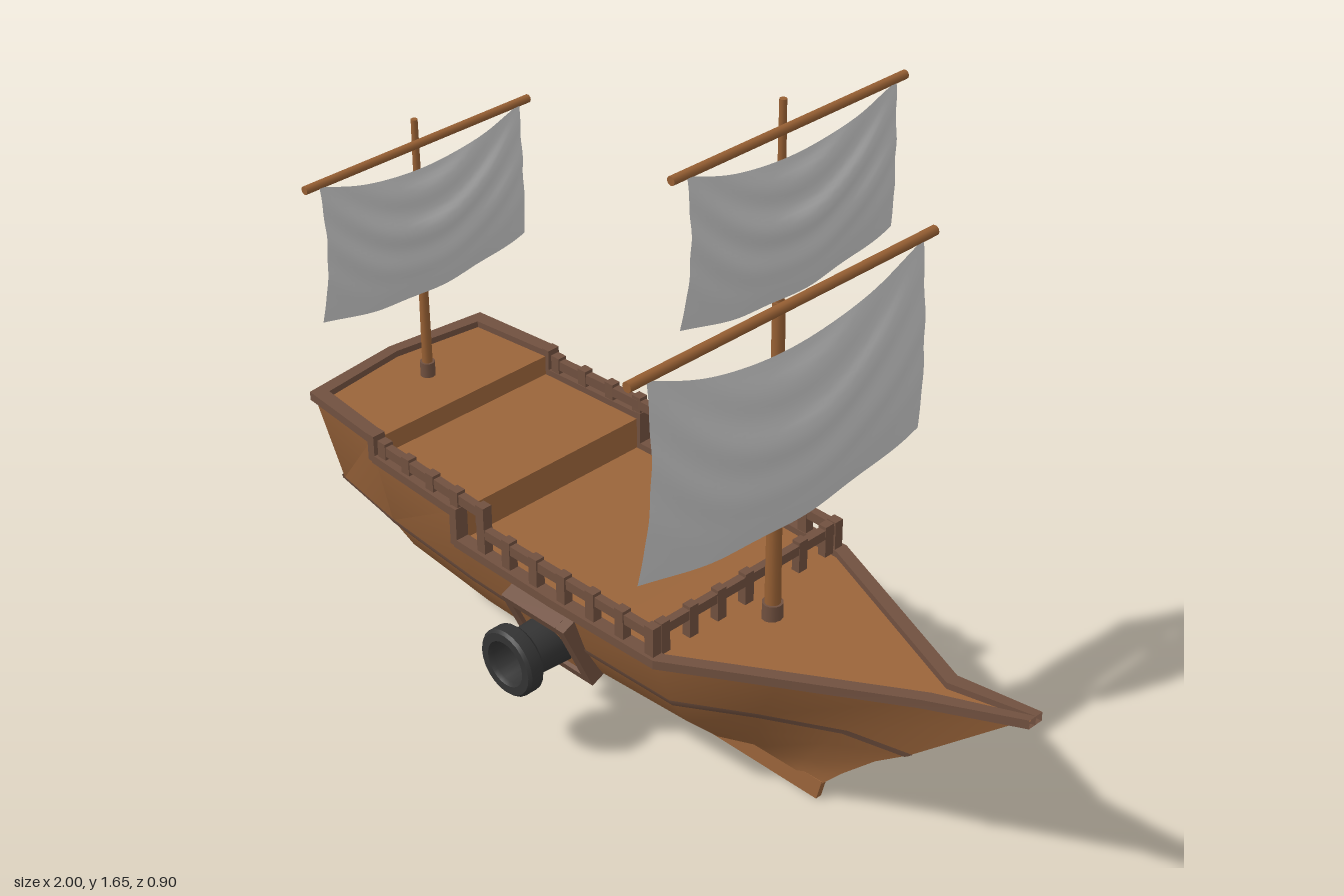
import * as THREE from 'three';
import { toCreasedNormals } from 'three/addons/utils/BufferGeometryUtils.js';

const mat = (name, color, side = THREE.FrontSide) => {
  const m = new THREE.MeshStandardMaterial({ color, side });
  m.name = name;
  return m;
};
const WOOD = mat('plank brown', 0x9a643a, THREE.DoubleSide);
const TRIM = mat('dark trim brown', 0x70503f, THREE.DoubleSide);
const SPAR = mat('spar brown', 0x965f33);
const IRON = mat('gun iron', 0x333333);
const CLOTH = mat('sail cloth', 0xc9c9c9, THREE.DoubleSide);

// Sheer line stations from stern to bow; repeated x values are the deck steps
const X = [-.995, -.965, -.72, -.72, -.42, -.42, -.1, .22, .48, .75, .99];
const Y = [.545, .545, .545, .495, .495, .415, .415, .415, .442, .47, .535];
const W = [0, .257, .28, .28, .295, .295, .3, .295, .175, .05, .012];

// Lower hull rows, keel first: stern x, bow x, stern y, bow y, half widths
const ROWS = [
  [-.77, .44, .045, .045, [0, .007, .009, .009, .01, .01, .01, .01, .009, .008, .006]],
  [-.79, .50, .11, .11, [0, .03, .085, .085, .115, .115, .12, .105, .06, .022, .007]],
  [-.83, .595, .2, .2, [0, .12, .18, .18, .205, .205, .21, .195, .11, .04, .008]],
  [-.965, .69, .3, .272, [0, .205, .237, .237, .255, .255, .258, .248, .145, .05, .01]],
];

// Keep the midship stations and stretch only the two ends
const fit = (x, a, b) =>
  x > .22 ? .22 + (x - .22) * (b - .22) / .77 :
  x < -.72 ? -.72 - (x + .72) * (a + .72) / .275 : x;

// Surface through rows of points, mirrored to the other side when s is -1
function loft(rows, s, crease = .6) {
  const cols = rows[0].length, pos = [], idx = [];
  rows.forEach(r => r.forEach(([x, y, z]) => pos.push(x, y, z * s)));
  for (let i = 0; i < rows.length - 1; i++)
    for (let j = 0; j < cols - 1; j++) {
      const a = i * cols + j, b = a + 1, d = a + cols, c = d + 1;
      if (s > 0) idx.push(a, b, c, a, c, d);
      else idx.push(a, c, b, a, d, c);
    }
  const g = new THREE.BufferGeometry();
  g.setAttribute('position', new THREE.Float32BufferAttribute(pos, 3));
  g.setIndex(idx);
  g.computeVertexNormals();
  return toCreasedNormals(g, crease);
}

function add(parent, name, geo, material, x = 0, y = 0, z = 0) {
  const m = new THREE.Mesh(geo, material);
  m.name = name;
  m.position.set(x, y, z);
  parent.add(m);
  return m;
}
const box = (p, name, m, w, h, d, x, y, z) => add(p, name, new THREE.BoxGeometry(w, h, d), m, x, y, z);

// Half width of the sheer line at a given x
function widthAt(x) {
  let i = 1;
  while (i < X.length - 2 && X[i + 1] < x) i++;
  return W[i] + (W[i + 1] - W[i]) * (x - X[i]) / ((X[i + 1] - X[i]) || 1);
}

function hullSide(g, s) {
  const rows = ROWS.map(([a, b, y0, y1, w]) => X.map((x, j) =>
    [fit(x, a, b), y0 + (y1 - y0) * (x + .995) / 1.985, w[j]]));
  const top = X.map((x, j) => [x, Y[j], W[j]]);
  add(g, 'hull', loft([...rows, top], s), WOOD);

  // Painted band along the knuckle
  const mix = (a, b, dy) => a.map((p, j) => {
    const t = dy / Math.abs(b[j][1] - p[1]);
    return p.map((v, k) => v + (b[j][k] - v) * t);
  });
  const out = r => r.map(([x, y, z], j) => [x + (j < 2 ? -.003 : .001), y, j ? z + .003 : 0]);
  add(g, 'hullBand', loft([mix(rows[3], rows[2], .009), rows[3], mix(rows[3], top, .009)].map(out), s), TRIM);

  // Stepped decks and their bulkheads
  add(g, 'deck', loft([
    X.map((x, j) => [x, Y[j] - .008, Math.max(W[j] - .006, 0)]),
    X.map((x, j) => [x, Y[j] - .008, 0])], s, .3), WOOD);

  // Cap rail swept along the sheer
  const edge = (inset, dy) => X.map((x, j) => [
    x + (j < 2 ? (inset > 0 ? .026 : -.004) : j === 10 ? .01 : 0),
    Y[j] + dy, j ? Math.max(W[j] - inset, .0) : 0]);
  add(g, 'capRail', loft([edge(-.008, -.014), edge(-.008, .008), edge(.026, .008),
    edge(.026, -.014), edge(-.008, -.014)], s, .4), TRIM);
  box(g, 'capRailStep', TRIM, .022, .07, .034, -.72, .52, s * .271);
  box(g, 'capRailStep', TRIM, .022, .1, .034, -.42, .455, s * .286);
}

// Balustrades beside the raised deck and the main deck
function sideRail(g, s, x0, x1, n, base, top) {
  for (let i = 0; i <= n; i++) {
    const x = x0 + (x1 - x0) * i / n;
    box(g, 'railPost', TRIM, .026, top - base, .024, x, (top + base) / 2, s * (widthAt(x) - .012));
  }
  const z0 = widthAt(x0) - .012, z1 = widthAt(x1) - .012;
  const bar = box(g, 'railBar', TRIM, Math.hypot(x1 - x0, z1 - z0) + .02, .024, .02,
    (x0 + x1) / 2, top - .02, s * (z0 + z1) / 2);
  bar.rotation.y = -s * Math.atan2(z1 - z0, x1 - x0);
}

// Gun with its tilted square port
function gun(parent, s) {
  const g = new THREE.Group();
  g.name = 'gun';
  g.position.set(-.14, 0, 0);
  parent.add(g);
  const port = new THREE.Group();
  port.name = 'gunPort';
  port.position.set(0, .283, s * .262);
  port.rotation.x = s * .42;
  g.add(port);
  for (const k of [-1, 1]) {
    box(port, 'portFrameSide', TRIM, .026, .205, .04, k * .088, 0, 0);
    box(port, 'portFrameBar', TRIM, .15, .026, .04, 0, k * .09, 0);
  }
  box(port, 'portPanel', WOOD, .16, .16, .02, 0, 0, 0);
  const profile = [[0, .2], [.064, .2], [.056, .355], [.074, .358], [.082, .366], [.082, .398], [.076, .405],
    [.056, .405], [.05, .395], [.05, .3], [0, .3]].map(p => new THREE.Vector2(...p));
  const barrel = new THREE.LatheGeometry(profile, 24);
  barrel.rotateX(s * Math.PI / 2);
  add(g, 'gunBarrel', toCreasedNormals(barrel, .6), IRON, 0, .275, 0);
}

function mast(g, name, x, sections, collar) {
  for (const [y0, y1, r0, r1] of sections)
    add(g, name, new THREE.CylinderGeometry(r1, r0, y1 - y0, 12), SPAR, x, (y0 + y1) / 2, 0);
  const y = sections[0][0];
  add(g, name + 'Collar', new THREE.CylinderGeometry(collar, collar, .045, 12), TRIM, x, y + .022, 0);
}

// Yard with a hanging cloth sail: sagging head, full belly, curved folds
function sail(g, name, x, yTop, half, r, { h, dip, foot, wTop, wBot, belly }) {
  const yard = new THREE.CylinderGeometry(r, r, half * 2, 12);
  yard.rotateX(Math.PI / 2);
  add(g, name + 'Yard', yard, SPAR, x, yTop, 0);
  const geo = new THREE.PlaneGeometry(2, 1, 40, 32);
  const p = geo.attributes.position;
  for (let i = 0; i < p.count; i++) {
    const u = p.getX(i), v = .5 - p.getY(i), c = 1 - u * u;
    const w = wTop + (wBot - wTop) * v - .008 * Math.sin(Math.PI * v);
    const fold = Math.sin(21 * (v - .38 * c)) * .0055 * Math.sin(Math.PI * Math.min(1, v + .12)) * (.35 + .65 * c);
    const side = Math.sin(u * 9) * .003 * v;
    p.setXYZ(i,
      x + .008 + belly * Math.sin(Math.PI * v) * (.55 + .45 * c) + fold + side - .008 * v ** 4,
      yTop - v * h - dip * c * (1 - v) - foot * c * v,
      -u * w);
  }
  geo.computeVertexNormals();
  add(g, name, geo, CLOTH);
}

export function createModel() {
  const ship = new THREE.Group();
  ship.name = 'sailingShip';

  for (const s of [1, -1]) {
    hullSide(ship, s);
    sideRail(ship, s, -.69, -.335, 4, .49, .545);
    sideRail(ship, s, -.25, .2, 5, .415, .495);
    box(ship, 'cornerPost', TRIM, .026, .13, .024, -.335, .48, s * .283);
    box(ship, 'railBar', TRIM, .09, .024, .02, -.29, .475, s * .284);
    gun(ship, s);
  }

  // Keel
  const keel = new THREE.Shape([[-.77, .025], [-.45, 0], [.43, 0], [.445, .055], [-.77, .06]]
    .map(p => new THREE.Vector2(...p)));
  add(ship, 'keel', new THREE.ExtrudeGeometry(keel, { depth: .016, bevelEnabled: false }), WOOD, 0, 0, -.008);

  // Balustrade across the fore end of the main deck
  for (let i = -3; i <= 3; i++)
    box(ship, 'crossRailPost', TRIM, .022, .08, .026, .2, .455, i * .085);
  box(ship, 'crossRailBar', TRIM, .02, .024, .56, .2, .475, 0);

  // Masts, yards and sails
  mast(ship, 'mainMast', .28, [[.41, 1.2, .019, .014], [1.2, 1.65, .011, .008]], .024);
  mast(ship, 'sternMast', -.855, [[.53, 1.21, .013, .008]], .018);
  sail(ship, 'mainSail', .305, 1.2, .45, .012,
    { h: .48, dip: .1, foot: .06, wTop: .405, wBot: .425, belly: .026 });
  sail(ship, 'topSail', .305, 1.6, .33, .01,
    { h: .335, dip: .06, foot: .045, wTop: .295, wBot: .305, belly: .016 });
  sail(ship, 'sternSail', -.84, 1.155, .33, .01,
    { h: .345, dip: .06, foot: .04, wTop: .295, wBot: .305, belly: .018 });

  return ship;
}
